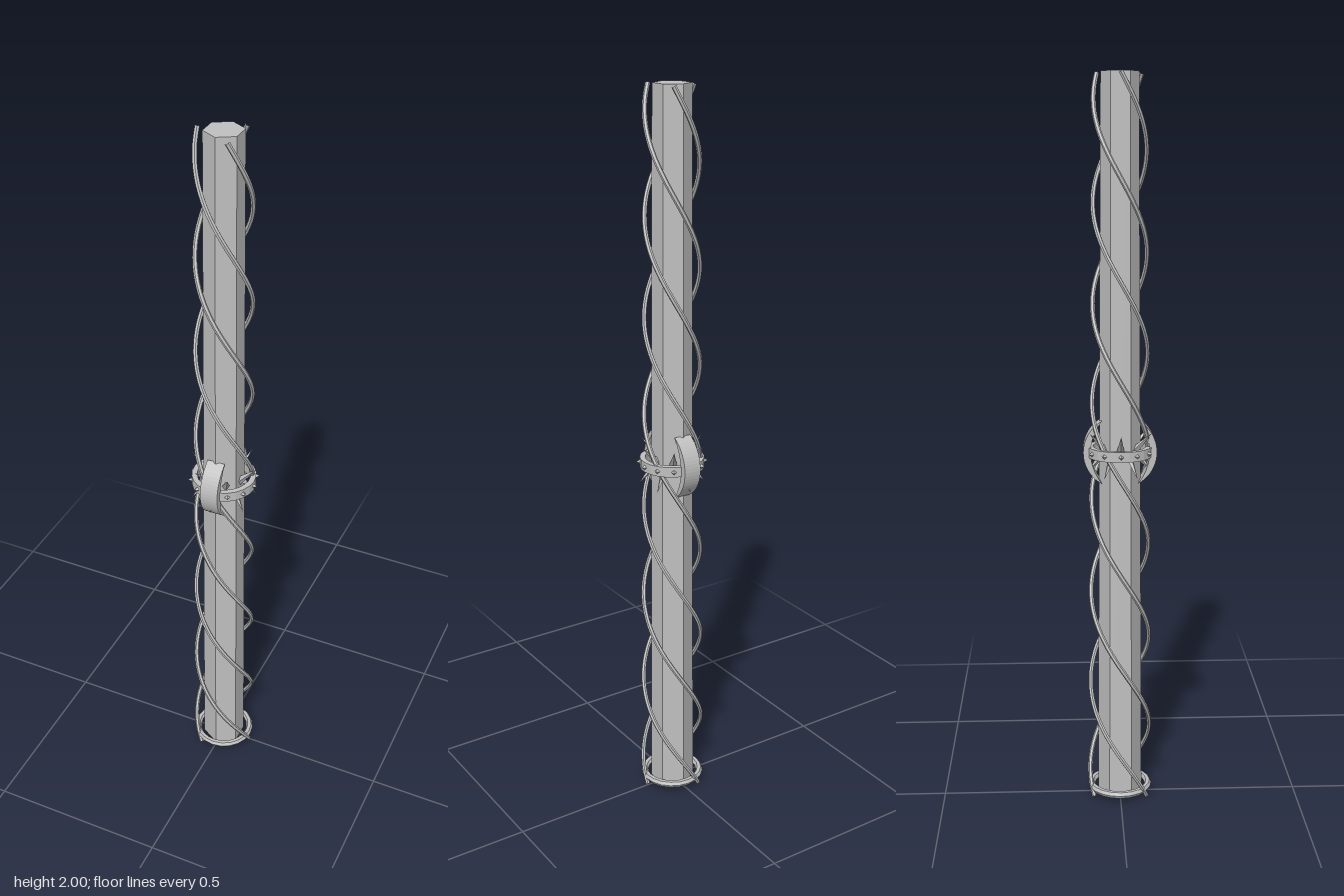
import * as THREE from 'three';

export function createModel() {
  const model = new THREE.Group();
  const grey = new THREE.MeshStandardMaterial({ color: 0xc0c0c0, flatShading: true });
  grey.name = 'stone grey';

  const add = (parent, name, geometry, y = 0) => {
    const mesh = new THREE.Mesh(geometry, grey);
    mesh.name = name;
    mesh.position.y = y;
    parent.add(mesh);
    return mesh;
  };

  // Tapered hexagonal shaft with corners facing front and back
  add(model, 'shaft', new THREE.CylinderGeometry(0.05, 0.062, 1.99, 6), 1.005);

  // Three vines winding two and a half turns, tightening with the taper
  for (let k = 0; k < 3; k++) {
    const points = [];
    for (let i = 0; i <= 60; i++) {
      const t = i / 60;
      const a = t * Math.PI * 5 + (k * Math.PI * 2) / 3;
      const r = 0.085 - 0.017 * t;
      points.push(new THREE.Vector3(r * Math.cos(a), 0.005 + 1.992 * t, r * Math.sin(a)));
    }
    const path = new THREE.CatmullRomCurve3(points);
    add(model, 'vine' + (k + 1), new THREE.TubeGeometry(path, 120, 0.0065, 6));
  }

  // Collar at the foot
  const foot = new THREE.TorusGeometry(0.08, 0.01, 6, 20);
  foot.rotateX(Math.PI / 2);
  add(model, 'footRing', foot, 0.026);

  // Ornament halfway up
  const ornament = new THREE.Group();
  ornament.name = 'ornament';
  ornament.position.y = 1.003;
  model.add(ornament);

  // Flat band around the shaft
  const band = new THREE.LatheGeometry(
    [[0.073, -0.014], [0.088, -0.014], [0.088, 0.014], [0.073, 0.014], [0.073, -0.014]]
      .map(([x, y]) => new THREE.Vector2(x, y)), 24);
  add(ornament, 'band', band);

  // Crescent blades on the front and back
  const crescent = new THREE.Shape();
  const tip = Math.PI / 3;
  crescent.absarc(0, 0, 0.1, -tip, tip, false);
  crescent.quadraticCurveTo(0.11, 0, 0.1 * Math.cos(tip), -0.1 * Math.sin(tip));
  const blade = new THREE.ExtrudeGeometry(crescent, { depth: 0.05, bevelEnabled: false, curveSegments: 10 });
  blade.translate(0, 0, -0.025);
  for (const side of [1, -1]) {
    add(ornament, side > 0 ? 'frontBlade' : 'backBlade', blade).rotation.y = -side * Math.PI / 2;
  }

  // Outward cones, set around the shaft and tilted up or down
  const spike = (name, angle, tilt, start, length, radius) => {
    const cone = new THREE.ConeGeometry(radius, length, 4);
    cone.rotateZ(-Math.PI / 2);
    cone.translate(length / 2, 0, 0);
    cone.rotateZ(tilt);
    cone.translate(start, 0, 0);
    cone.rotateY(angle);
    add(ornament, name, cone);
  };
  for (let i = 0; i < 12; i++) {
    // Front and back are covered by the blades
    if (i % 6 !== 3) spike('stud', (i * Math.PI) / 6, 0, 0.082, 0.016, 0.011);
  }
  for (let i = 0; i < 6; i++) {
    const angle = (i * Math.PI) / 3;
    spike('upperShard', angle, 0.8, 0.04, 0.08, 0.012);
    spike('lowerShard', angle + Math.PI / 6, -0.9, 0.04, 0.08, 0.012);
  }

  return model;
}
